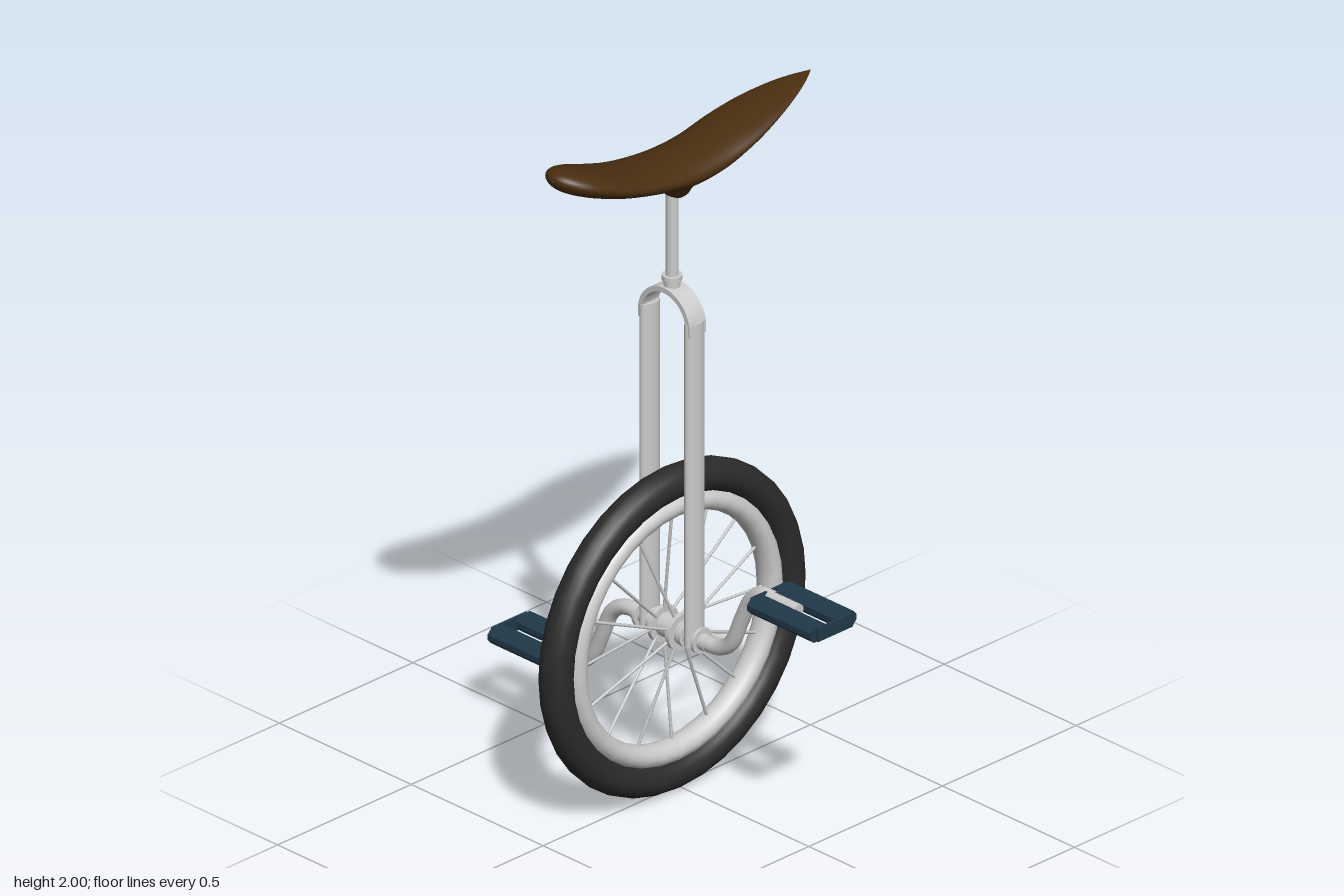
import * as THREE from 'three';
import { toCreasedNormals } from 'three/addons/utils/BufferGeometryUtils.js';

const CY = 0.484, CZ = 0.018; // wheel centre
const V = (x, y, z = 0) => new THREE.Vector3(x, y, z);

export function createModel() {
  const root = new THREE.Group();
  const metal = new THREE.MeshStandardMaterial({ color: 0xcccccc });
  const leather = new THREE.MeshStandardMaterial({ color: 0x4a2e10 });
  const rubber = new THREE.MeshStandardMaterial({ color: 0x2b2b2b });
  const blue = new THREE.MeshStandardMaterial({ color: 0x20394a });

  const add = (parent, name, geo, mat, x = 0, y = 0, z = 0) => {
    const m = new THREE.Mesh(geo, mat);
    m.name = name;
    m.position.set(x, y, z);
    parent.add(m);
    return m;
  };
  const group = (name, parent, y = 0) => {
    const g = new THREE.Group();
    g.name = name;
    g.position.set(0, y, y ? CZ : 0);
    parent.add(g);
    return g;
  };
  // Cylinder lying along x
  const xRod = (r, len, seg = 20) => new THREE.CylinderGeometry(r, r, len, seg).rotateZ(Math.PI / 2);

  // Wheel: tyre, rim, spokes and hub
  const wheel = group('wheel', root, CY);
  add(wheel, 'tyre', new THREE.TorusGeometry(0.434, 0.047, 16, 36).rotateY(Math.PI / 2), rubber);
  const rimPts = [];
  for (let i = 0; i <= 16; i++) {
    const a = (i / 16) * Math.PI * 2;
    rimPts.push(new THREE.Vector2(0.366 + 0.032 * Math.cos(a), 0.038 * Math.sin(a)));
  }
  add(wheel, 'rim', new THREE.LatheGeometry(rimPts, 36).rotateZ(Math.PI / 2), metal);
  for (let i = 0; i < 16; i++) {
    const a = (i / 16) * Math.PI * 2;
    const side = i % 2 ? 1 : -1;
    const path = new THREE.LineCurve3(
      V(side * 0.03, 0.04 * Math.cos(a), 0.04 * Math.sin(a)),
      V(0, 0.345 * Math.cos(a), 0.345 * Math.sin(a)));
    add(wheel, 'spoke', new THREE.TubeGeometry(path, 1, 0.0045, 6), metal);
  }
  add(wheel, 'axle', xRod(0.024, 0.28), metal);
  add(wheel, 'hubBarrel', xRod(0.034, 0.1), metal);
  for (const s of [-1, 1]) {
    add(wheel, 'hubFlange', xRod(0.053, 0.014, 28), metal, s * 0.034);
    add(wheel, 'innerWasher', xRod(0.036, 0.012), metal, s * 0.06);
    add(wheel, 'outerWasher', xRod(0.037, 0.01), metal, s * 0.112);
  }

  // Fork: two oval legs joined by a flat arch
  const fork = group('fork', root);
  for (const s of [-1, 1]) {
    const leg = new THREE.CylinderGeometry(1, 1, 0.965, 24).scale(0.018, 1, 0.034);
    add(fork, 'forkLeg', leg, metal, s * 0.085, 0.9475, CZ);
  }
  const arch = new THREE.Shape();
  arch.moveTo(0.098, -0.02);
  arch.lineTo(0.098, 0);
  arch.absarc(0, 0, 0.098, 0, Math.PI, false);
  arch.lineTo(-0.098, -0.02);
  arch.lineTo(-0.083, -0.02);
  arch.lineTo(-0.083, 0);
  arch.absarc(0, 0, 0.083, Math.PI, 0, true);
  arch.lineTo(0.083, -0.02);
  const archGeo = new THREE.ExtrudeGeometry(arch, { depth: 0.062, bevelEnabled: false, curveSegments: 20 });
  add(fork, 'forkArch', toCreasedNormals(archGeo, 0.6), metal, 0, 1.412, CZ - 0.031);

  // Seat post with stepped collar
  const post = group('seatPost', root);
  add(post, 'postTube', new THREE.CylinderGeometry(0.018, 0.018, 0.29, 20), metal, 0, 1.645, CZ);
  add(post, 'collar', new THREE.CylinderGeometry(0.023, 0.023, 0.035, 20), metal, 0, 1.517, CZ);
  add(post, 'collarRing', new THREE.CylinderGeometry(0.028, 0.028, 0.014, 20), metal, 0, 1.534, CZ);

  // Seat: lofted body and a flared neck
  const seat = group('seat', root);
  add(seat, 'seatBody', seatGeometry(), leather);
  const neckPts = [[0, 1.772], [0.022, 1.773], [0.032, 1.782], [0.042, 1.8], [0.06, 1.82], [0.082, 1.842], [0.08, 1.86]];
  const neck = new THREE.LatheGeometry(neckPts.map(p => new THREE.Vector2(...p)), 28);
  add(seat, 'seatNeck', neck, leather, 0, 0, 0).scale.set(1, 1, 1.1);

  // Cranks and pedals, the second half a turn about the axle
  for (const s of [1, -1]) {
    const crank = group(s > 0 ? 'leftCrank' : 'rightCrank', root, CY);
    const path = new THREE.CatmullRomCurve3([
      V(s * 0.1, 0), V(s * 0.18, 0.005 * s), V(s * 0.225, 0.035 * s), V(s * 0.265, 0.12 * s),
      V(s * 0.3, 0.19 * s), V(s * 0.34, 0.222 * s), V(s * 0.39, 0.225 * s)]);
    add(crank, 'crankArm', new THREE.TubeGeometry(path, 40, 0.022, 16), metal);
    add(crank, 'pedalAxle', xRod(0.018, 0.12), metal, s * 0.42, s * 0.225);
    const pedal = group('pedal', crank);
    pedal.position.set(s * 0.492, s * 0.225, 0);
    for (const side of [-1, 1]) {
      add(pedal, 'pedalPad', padGeometry(), blue, 0, 0, side * 0.053);
      const plate = new THREE.BoxGeometry(0.008, 0.04, 0.13);
      add(pedal, 'pedalEndPlate', plate, blue, side * 0.124);
    }
  }
  return root;
}

// Pedal pad: six-sided bar along x, bevelled on its long edges
function padGeometry() {
  const s = new THREE.Shape();
  [[-0.033, -0.008], [-0.02, -0.022], [0.02, -0.022], [0.033, -0.008],
    [0.033, 0.008], [0.02, 0.022], [-0.02, 0.022], [-0.033, 0.008]]
    .forEach(([x, y], i) => (i ? s.lineTo(x, y) : s.moveTo(x, y)));
  const g = new THREE.ExtrudeGeometry(s, { depth: 0.24, bevelEnabled: false });
  return g.translate(0, 0, -0.12).rotateY(Math.PI / 2);
}

// Seat body: elliptical sections from nose to tail
function seatGeometry() {
  // z, top, bottom, half width
  const stations = [
    [0.465, 1.979, 1.977, 0.001], [0.46, 1.992, 1.963, 0.025], [0.44, 1.999, 1.943, 0.053],
    [0.4, 1.993, 1.921, 0.08], [0.35, 1.978, 1.9, 0.094], [0.27, 1.948, 1.872, 0.1],
    [0.18, 1.922, 1.848, 0.1], [0.08, 1.908, 1.826, 0.1], [0, 1.905, 1.815, 0.1],
    [-0.1, 1.909, 1.828, 0.1], [-0.2, 1.924, 1.865, 0.098], [-0.3, 1.941, 1.904, 0.082],
    [-0.4, 1.955, 1.938, 0.052], [-0.46, 1.962, 1.954, 0.025], [-0.5, 1.966, 1.964, 0.001]];
  const line = pick => new THREE.CatmullRomCurve3(stations.map(pick));
  const topCurve = line(s => new THREE.Vector3(s[3], s[1], s[0]));
  const lowCurve = line(s => new THREE.Vector3(s[3], s[2], s[0]));
  const N = 56, M = 32, pos = [], idx = [];
  for (let i = 0; i <= N; i++) {
    const t = topCurve.getPoint(i / N), b = lowCurve.getPoint(i / N);
    for (let j = 0; j < M; j++) {
      const a = (j / M) * Math.PI * 2;
      const k = (1 + Math.sin(a)) / 2;
      pos.push(t.x * Math.cos(a), b.y + (t.y - b.y) * k, b.z + (t.z - b.z) * k);
      if (i < N) {
        const p = i * M + j, q = i * M + (j + 1) % M;
        idx.push(p, p + M, q, q, p + M, q + M);
      }
    }
  }
  const g = new THREE.BufferGeometry();
  g.setAttribute('position', new THREE.Float32BufferAttribute(pos, 3));
  g.setIndex(idx);
  g.computeVertexNormals();
  return g;
}
